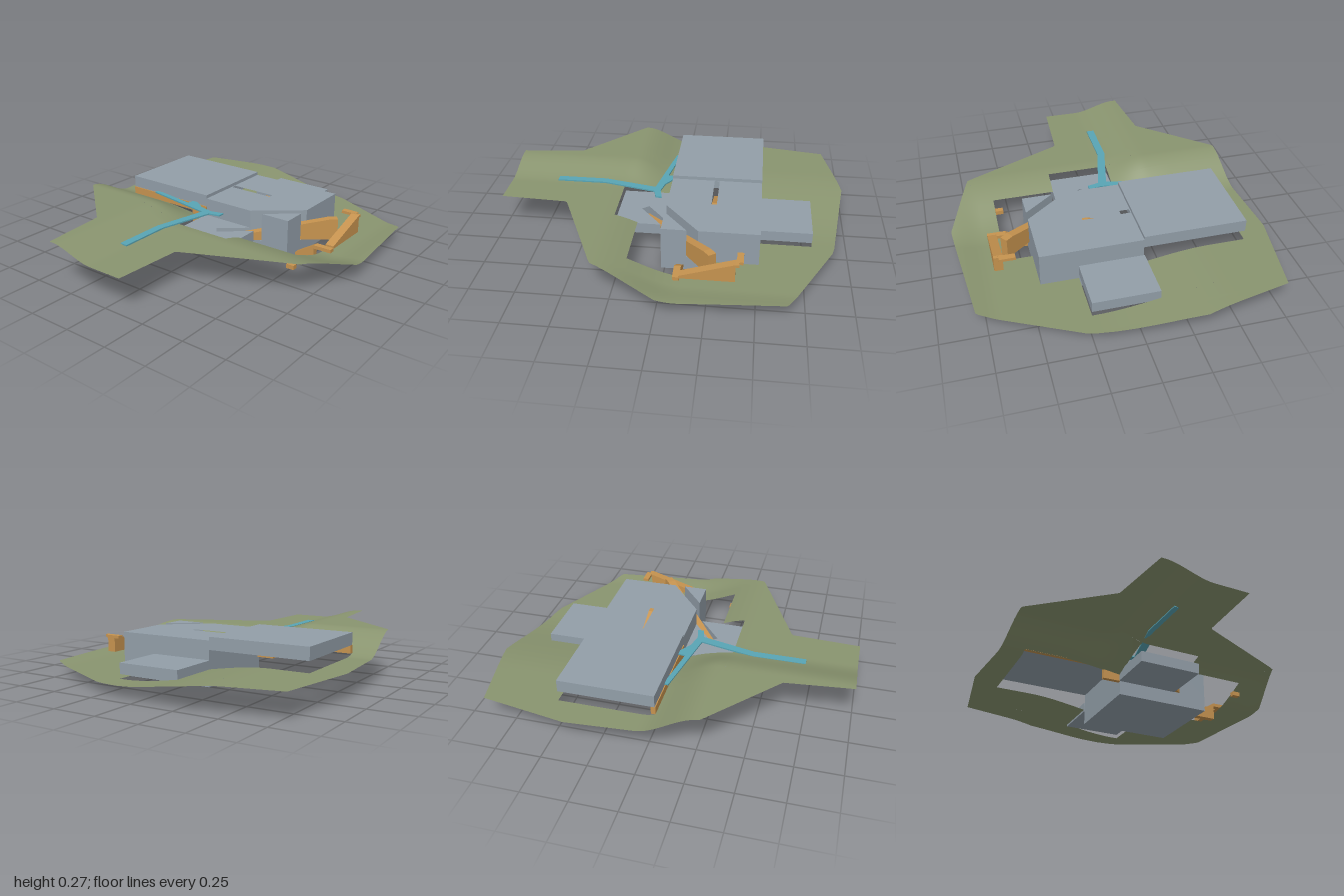
import * as THREE from 'three';
import { mergeGeometries } from 'three/addons/utils/BufferGeometryUtils.js';

const material = (name, color, side = THREE.FrontSide) => {
  const m = new THREE.MeshStandardMaterial({ color, side });
  m.name = name;
  return m;
};
const smooth = THREE.MathUtils.smoothstep;
const mix = THREE.MathUtils.lerp;

// Ground level: a high bank at the front, a lower yard behind, falling to +x
function groundHeight(x, z) {
  const left = 0.14 + 0.12 * smooth(z, -0.05, 0.28);
  const right = 0.06 + 0.14 * smooth(z, -0.12, 0.38);
  const front = smooth(z, 0, 0.35);
  const across = mix(smooth(x, -0.5, 0.2), smooth(x, -0.36, -0.09), front);
  const lip = 0.02 * smooth(x, 0.68, 0.86) * (1 - front);
  return mix(left, right, across) + lip;
}

// Outline sides as [x, z] from back to front
const leftEdge = [[-0.32, -1], [-0.79, -0.9], [-0.87, -0.42], [-0.82, 0.28], [-0.42, 0.63], [-0.38, 1]];
const rightEdge = [[-0.32, -1], [0.27, -0.92], [0.8, -0.66], [0.86, 0], [0.72, 0.35], [0.13, 0.61], [0.11, 1]];
function edgeX(edge, z) {
  let i = 0;
  while (i < edge.length - 2 && z > edge[i + 1][1]) i++;
  const [a, b] = [edge[i], edge[i + 1]];
  return mix(a[0], b[0], (z - a[1]) / (b[1] - a[1]));
}

// A patch of ground between two side functions of z
function groundPatch(z0, z1, xa, xb) {
  const rows = Math.ceil((z1 - z0) / 0.0125), cols = 40;
  const pos = [], index = [];
  for (let r = 0; r <= rows; r++) {
    const z = mix(z0, z1, r / rows);
    for (let c = 0; c <= cols; c++) {
      const x = mix(xa(z), xb(z), c / cols);
      pos.push(x, groundHeight(x, z), z);
    }
  }
  for (let r = 0; r < rows; r++) {
    for (let c = 0; c < cols; c++) {
      const a = r * (cols + 1) + c, d = a + cols + 1;
      index.push(a, d, a + 1, a + 1, d, d + 1);
    }
  }
  const g = new THREE.BufferGeometry();
  g.setAttribute('position', new THREE.Float32BufferAttribute(pos, 3));
  g.setIndex(index);
  g.computeVertexNormals();
  return g;
}

// Block from a plan outline of [x, z] points, between two levels
function planBlock(points, y0, y1, hole) {
  const flat = (list) => list.map(([x, z]) => new THREE.Vector2(x, -z));
  const shape = new THREE.Shape(flat(points));
  if (hole) shape.holes.push(new THREE.Path(flat(hole)));
  const g = new THREE.ExtrudeGeometry(shape, { depth: y1 - y0, bevelEnabled: false });
  return g.rotateX(-Math.PI / 2).translate(0, y0, 0);
}
const rect = (x0, x1, z0, z1) => [[x0, z0], [x1, z0], [x1, z1], [x0, z1]];

// Side profile of [distance, y] points swept to a width, running from one plan point to another
function flight([x0, z0], [x1, z1], width, profile) {
  const shape = new THREE.Shape(profile.map((p) => new THREE.Vector2(...p)));
  const g = new THREE.ExtrudeGeometry(shape, { depth: width, bevelEnabled: false });
  return g.translate(0, 0, -width / 2).rotateY(Math.atan2(z0 - z1, x1 - x0)).translate(x0, 0, z0);
}

export function createModel() {
  const group = new THREE.Group();
  const grass = material('grass green', 0x89946f, THREE.DoubleSide);
  const concrete = material('concrete grey', 0x929ea8);
  const timber = material('timber orange', 0xc6934f);
  const water = material('path blue', 0x58a4b4);
  const add = (name, geometry, mat) => {
    const mesh = new THREE.Mesh(geometry, mat);
    mesh.name = name;
    group.add(mesh);
  };

  // Ground, in bands from back to front: z0, z1, then the opening for the buildings
  const bands = [
    [-1, -0.8], [-0.8, -0.51, -0.13, 0.23], [-0.51, -0.27, -0.71, 0.44], [-0.27, 0.02, -0.71, 0.59],
    [0.02, 0.18, -0.13, 0.59], [0.18, 0.31, -0.13, 0.23], [0.31, 1],
  ];
  const L = (z) => edgeX(leftEdge, z), R = (z) => edgeX(rightEdge, z);
  const patches = bands.flatMap(([z0, z1, h0, h1]) => h0 === undefined
    ? [groundPatch(z0, z1, L, R)]
    : [groundPatch(z0, z1, L, () => h0), groundPatch(z0, z1, () => h1, R)]);
  add('ground', mergeGeometries(patches), grass);

  // Main hall: solid base, then an upper part cut by the diagonal stair slot
  add('hallBase', planBlock(rect(-0.13, 0.44, -0.51, 0.02), 0, 0.085), concrete);
  add('hallUpper', planBlock(
    [[-0.13, -0.51], [0.44, -0.51], [0.44, -0.18], [0.188, 0.02], [-0.13, 0.02]], 0.085, 0.25,
    rect(-0.125, 0.15, -0.26, -0.23)), concrete);
  add('hallCorner', planBlock([[0.44, -0.118], [0.44, 0.02], [0.266, 0.02]], 0.085, 0.25), concrete);

  // Raised wing and the low annexes
  add('raisedWing', planBlock(rect(-0.71, -0.13, -0.51, 0.02), 0.2, 0.27), concrete);
  add('backAnnex', planBlock(rect(-0.135, 0.23, -0.8, -0.51), 0.085, 0.145), concrete);
  add('frontAnnexFloor', planBlock(rect(-0.135, 0.23, 0.02, 0.31), 0.083, 0.088), concrete);
  add('frontAnnex', planBlock(
    [[-0.135, 0.02], [0.188, 0.02], [0.035, 0.141], [0.065, 0.179], [0.23, 0.048], [0.23, 0.31], [-0.135, 0.31]],
    0.088, 0.145), concrete);

  // Stairs
  add('diagonalStair', flight([0.05, 0.16], [0.58, -0.26], 0.046,
    [[0, 0.088], [0.69, 0.088], [0.69, 0.21], [0.64, 0.21], [0, 0.097]]), timber);
  add('roofStair', flight([-0.125, -0.245], [0.15, -0.245], 0.029,
    [[0, 0.09], [0.274, 0.09], [0.274, 0.24], [0.24, 0.24], [0, 0.15]]), timber);
  add('lowerFlight', flight([0.44, -0.085], [0.66, -0.085], 0.036,
    [[0, 0], [0.12, 0], [0.12, 0.085], [0.225, 0.085], [0.225, 0.105], [0.12, 0.105], [0, 0.03]]), timber);
  add('upperFlight', flight([0.64, -0.1], [0.64, -0.41], 0.05,
    [[0, 0.1], [0.29, 0.1], [0.29, 0.19], [0.31, 0.19], [0.31, 0.205], [0.29, 0.205], [0, 0.115]]), timber);
  add('topLanding', planBlock(rect(0.55, 0.64, -0.43, -0.395), 0.19, 0.206), timber);
  add('landingStep', planBlock(rect(0.54, 0.585, 0.155, 0.185), 0.06, 0.085), timber);

  // Retaining wall under the raised wing
  add('retainingWall', planBlock(rect(-0.71, -0.235, 0, 0.025), 0.155, 0.2), timber);
  add('retainingWallEnd', planBlock(rect(-0.235, -0.13, 0, 0.025), 0.08, 0.2), timber);

  // Level footpath with its branches
  add('footpath', planBlock([
    [-0.155, 0.72], [-0.155, 0.43], [-0.085, 0.12], [-0.52, 0.04], [-0.52, 0.012], [-0.24, 0.06], [-0.235, 0.02],
    [-0.2, 0.02], [-0.13, 0.066], [-0.05, 0.085], [0.03, 0.068], [0.03, 0.105], [-0.035, 0.12],
    [-0.11, 0.43], [-0.11, 0.72],
  ], 0.203, 0.211), water);

  return group;
}
